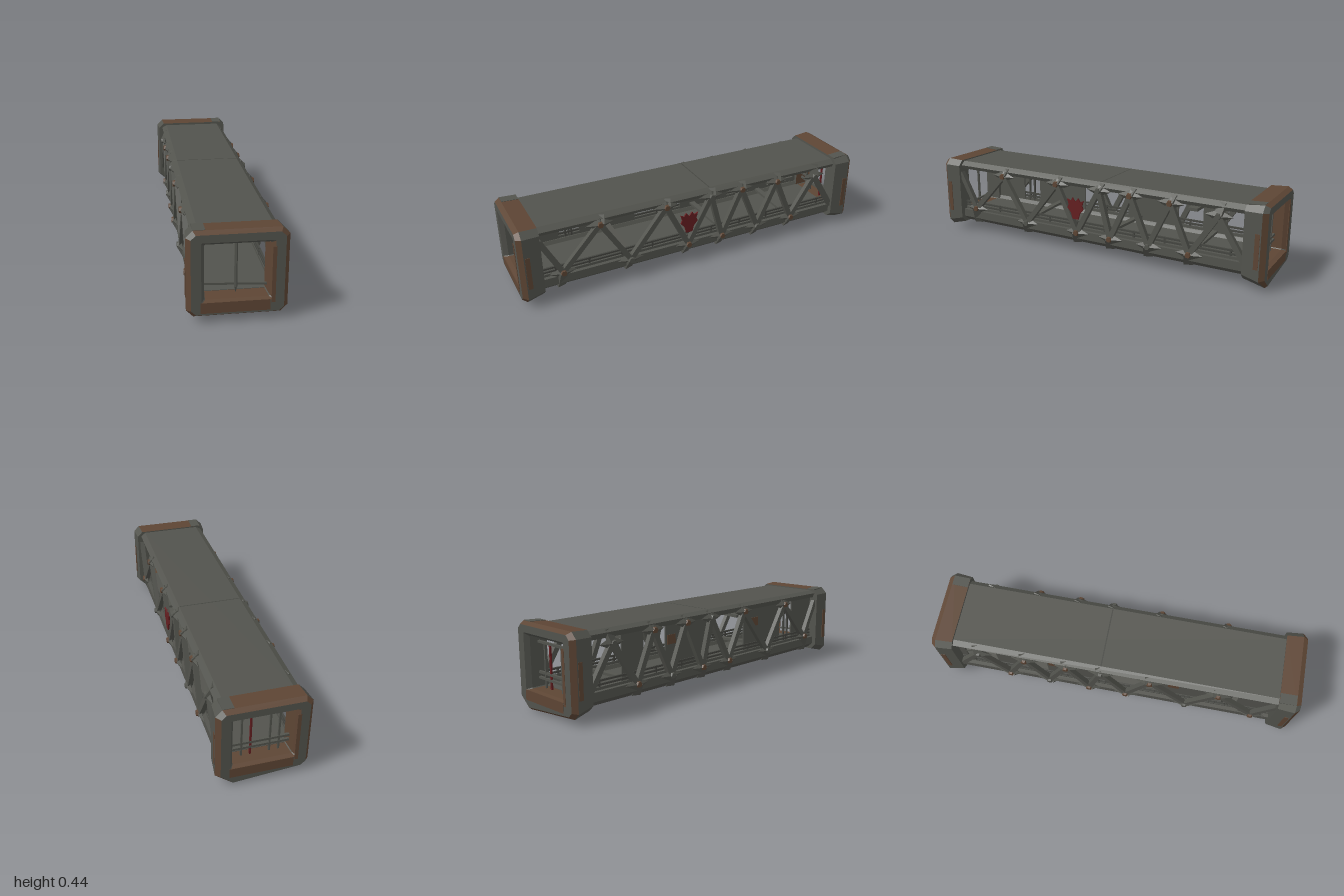
import * as THREE from 'three';

const make = (name, color, side = THREE.FrontSide) => {
  const m = new THREE.MeshStandardMaterial({ color, flatShading: true, side });
  m.name = name;
  return m;
};

export function createModel() {
  const steel = make('weathered steel', 0x52534d);
  const rust = make('rust', 0x5d4534);
  const dark = make('dark steel', 0x454641);
  const red = make('red paint', 0x641e20, THREE.DoubleSide);
  const model = new THREE.Group();
  model.name = 'trussCorridor';

  const add = (parent, name, geo, mat, x = 0, y = 0, z = 0) => {
    const m = new THREE.Mesh(geo, mat);
    m.name = name;
    m.position.set(x, y, z);
    parent.add(m);
    return m;
  };
  const box = (parent, name, mat, w, h, d, x, y, z) =>
    add(parent, name, new THREE.BoxGeometry(w, h, d), mat, x, y, z);

  // Square beam between two points
  const beam = (parent, name, mat, a, b, w, t = w) => {
    const p = new THREE.Vector3(...a), q = new THREE.Vector3(...b);
    const m = box(parent, name, mat, w, t, p.distanceTo(q), 0, 0, 0);
    m.position.copy(p).add(q).multiplyScalar(0.5);
    m.lookAt(q);
    return m;
  };

  // Prism along z from an xy outline
  const prism = (parent, name, mat, pts, length) => {
    const shape = new THREE.Shape(pts.map(p => new THREE.Vector2(...p)));
    const geo = new THREE.ExtrudeGeometry(shape, { depth: length, bevelEnabled: false });
    return add(parent, name, geo, mat, 0, 0, -length / 2);
  };

  // Chamfered portal frame swept through cross-section rings
  const octagon = (w, y0, y1, c, z) => [
    [w, y0 + c, z], [w, y1 - c, z], [w - c, y1, z], [-w + c, y1, z],
    [-w, y1 - c, z], [-w, y0 + c, z], [-w + c, y0, z], [w - c, y0, z],
  ];
  const portal = (name, sagging) => {
    const g = new THREE.Group();
    g.name = name;
    const rings = [
      octagon(0.22, 0.05, 0.432, 0.03, 0.885),
      octagon(0.228, 0.027, 0.437, 0.032, 0.975),
      octagon(0.207, 0.043, 0.424, 0.022, 1),
      octagon(0.162, 0.1, 0.387, 0.004, 1),
      octagon(0.147, 0.106, 0.37, 0.004, 0.975),
      octagon(0.14, 0.108, 0.366, 0.004, 0.885),
    ];
    if (sagging) {
      rings[1][6] = [-0.147, 0.002, 0.985];
      rings[2][6] = [-0.147, 0.015, 1];
    }
    // Rusty edges of each strip: 0 right, 2 top, 4 left, 6 bottom
    const rusty = [[2, 6], [0, 1, 2, 4, 5, 6, 7], [], [0, 6], [0, 6], []];
    const parts = [[], []];
    rings.forEach((a, k) => {
      const b = rings[(k + 1) % rings.length];
      a.forEach((p, i) => {
        const j = (i + 1) % 8;
        parts[rusty[k].includes(i) ? 1 : 0].push(...p, ...a[j], ...b[j], ...p, ...b[j], ...b[i]);
      });
    });
    parts.forEach((pos, i) => {
      const geo = new THREE.BufferGeometry();
      geo.setAttribute('position', new THREE.Float32BufferAttribute(pos, 3));
      geo.computeVertexNormals();
      add(g, i ? 'rustyFrameFaces' : 'steelFrameFaces', geo, i ? rust : steel);
    });
    // Side patches, rusted sill and jamb, bare steel at one top corner
    for (const s of [-1, 1]) box(g, 'sideRustPatch', rust, 0.008, 0.18, 0.024, s * 0.225, 0.21, 0.957);
    box(g, 'sillRust', rust, 0.31, 0.052, 0.004, -0.01, 0.077, 0.9995);
    box(g, 'jambRust', rust, 0.018, 0.27, 0.004, 0.158, 0.222, 0.9995);
    const patch = box(g, 'topSteelPatch', steel, 0.055, 0.006, 0.088, -0.168, 0.4335, 0.93);
    patch.rotation.x = -0.055;
    model.add(g);
    return g;
  };
  portal('frontPortal', false);
  portal('backPortal', true).rotation.y = Math.PI;

  // Roof and floor troughs
  const roof = prism(model, 'roof', steel, [
    [-0.188, 0.378], [0.188, 0.378], [0.198, 0.398], [0.17, 0.42], [-0.17, 0.42], [-0.2, 0.405],
  ], 1.8);
  roof.rotation.x = -0.003;
  prism(model, 'floor', steel, [
    [-0.16, 0.056], [0.16, 0.056], [0.195, 0.085], [0.195, 0.13], [0.155, 0.13],
    [0.145, 0.11], [-0.145, 0.11], [-0.155, 0.13], [-0.195, 0.13], [-0.195, 0.085],
  ], 1.8);
  for (const z of [-0.07, 0.2]) box(model, 'roofSeam', dark, 0.34, 0.004, 0.008, 0, 0.4205, z);

  // Wall panels on the right-hand wall, some patched with rust
  for (const [a, b] of [[0.69, 0.89], [0.235, 0.57], [-0.38, -0.06], [-0.67, -0.53], [-0.89, -0.85]])
    box(model, 'wallPanel', steel, 0.008, 0.25, b - a, -0.163, 0.255, (a + b) / 2);
  for (const z of [0.33, -0.34]) box(model, 'panelRust', rust, 0.014, 0.05, 0.06, -0.163, 0.3, z);

  // Zigzag trusses, alternating top and bottom nodes
  const nodes = [[0.89, 0.36], [0.78, 0.15], [0.57, 0.375], [0.41, 0.12], [0.2, 0.38], [0.07, 0.12],
    [-0.07, 0.38], [-0.14, 0.12], [-0.26, 0.38], [-0.37, 0.12], [-0.49, 0.375], [-0.6, 0.12],
    [-0.75, 0.35], [-0.89, 0.13]];
  for (const s of [-1, 1]) {
    const truss = new THREE.Group();
    truss.name = s > 0 ? 'leftTruss' : 'rightTruss';
    nodes.forEach(([z, y], i) => {
      if (i) {
        const [pz, py] = nodes[i - 1];
        beam(truss, 'brace', steel, [s * 0.194, py, pz], [s * 0.194, y, z], 0.026, 0.028);
      }
      if (!i || i === nodes.length - 1) return;
      // Diamond gusset with a rusty pin, and a claw gripping the chord
      const bottom = i % 2 === 1;
      const gusset = add(truss, 'gusset', new THREE.OctahedronGeometry(1), steel, s * 0.195, y, z);
      gusset.scale.set(0.022, 0.032, 0.075);
      const joint = add(truss, 'joint', new THREE.CylinderGeometry(0.015, 0.022, 0.03, 6),
        i % 3 ? rust : steel, s * 0.203, y, z);
      joint.rotation.z = -s * Math.PI / 2;
      beam(truss, 'claw', steel, [s * 0.203, y, z],
        bottom ? [s * 0.172, 0.062, z + 0.01] : [s * 0.172, 0.412, z - 0.01], 0.046, 0.02);
    });
    // Low handrails, kick rail and their posts
    for (const y of [0.155, 0.174]) beam(truss, 'handrail', dark, [s * 0.168, y, -0.89], [s * 0.168, y, 0.89], 0.01);
    box(truss, 'kickRail', steel, 0.012, 0.016, 1.78, s * 0.168, 0.136, 0);
    for (let i = 0; i < 10; i++) box(truss, 'railPost', dark, 0.009, 0.06, 0.009, s * 0.168, 0.15, -0.81 + i * 0.18);
    model.add(truss);
  }
  for (const z of [0.65, 0.615]) box(model, 'wallPost', dark, 0.01, 0.25, 0.01, -0.165, 0.255, z);

  // Crooked beams under the ceiling and over the floor
  for (const [z, l, r] of [[0.57, 0.36, 0.372], [0.2, 0.35, 0.36], [-0.26, 0.345, 0.365], [-0.6, 0.342, 0.35]])
    beam(model, 'ceilingBeam', steel, [-0.165, l, z], [0.165, r, z], 0.05, 0.016);
  for (const [z, l, r] of [[0.41, 0.155, 0.14], [-0.14, 0.15, 0.165], [-0.6, 0.135, 0.125]])
    beam(model, 'floorBeam', steel, [-0.165, l, z], [0.165, r, z], 0.03, 0.014);

  // Bars across the back opening, one painted red
  for (const x of [-0.093, -0.048, 0.046, 0.09])
    box(model, 'backBar', x === 0.046 ? red : steel, 0.009, 0.23, 0.009, x, 0.225, -0.93);
  for (const y of [0.335, 0.183, 0.155]) box(model, 'backCrossbar', steel, 0.29, 0.012, 0.012, 0, y, -0.93);

  // Front post and low crossbar
  const post = add(model, 'frontPost', new THREE.CylinderGeometry(0.008, 0.008, 0.23, 5), steel, 0, 0.253, 0.93);
  post.rotation.y = 0.3;
  const tip = add(model, 'frontPostTip', new THREE.ConeGeometry(0.008, 0.03, 5), steel, 0, 0.123, 0.93);
  tip.rotation.x = Math.PI;
  beam(model, 'frontCrossbar', steel, [-0.145, 0.158, 0.92], [0.145, 0.14, 0.92], 0.01);

  // Jagged red marker plate on the left side
  const marker = new THREE.Shape([
    [-0.018, -0.06], [0.018, -0.06], [0.028, -0.025], [0.05, 0], [0.042, 0.02], [0.052, 0.05], [0.03, 0.04],
    [0.018, 0.06], [0, 0.038], [-0.018, 0.06], [-0.03, 0.04], [-0.052, 0.05], [-0.042, 0.02], [-0.05, 0],
    [-0.028, -0.025],
  ].map(p => new THREE.Vector2(...p)));
  const plate = add(model, 'redMarker',
    new THREE.ExtrudeGeometry(marker, { depth: 0.008, bevelEnabled: false }), red, 0.205, 0.262, 0.07);
  plate.rotation.y = Math.PI / 2;

  return model;
}
